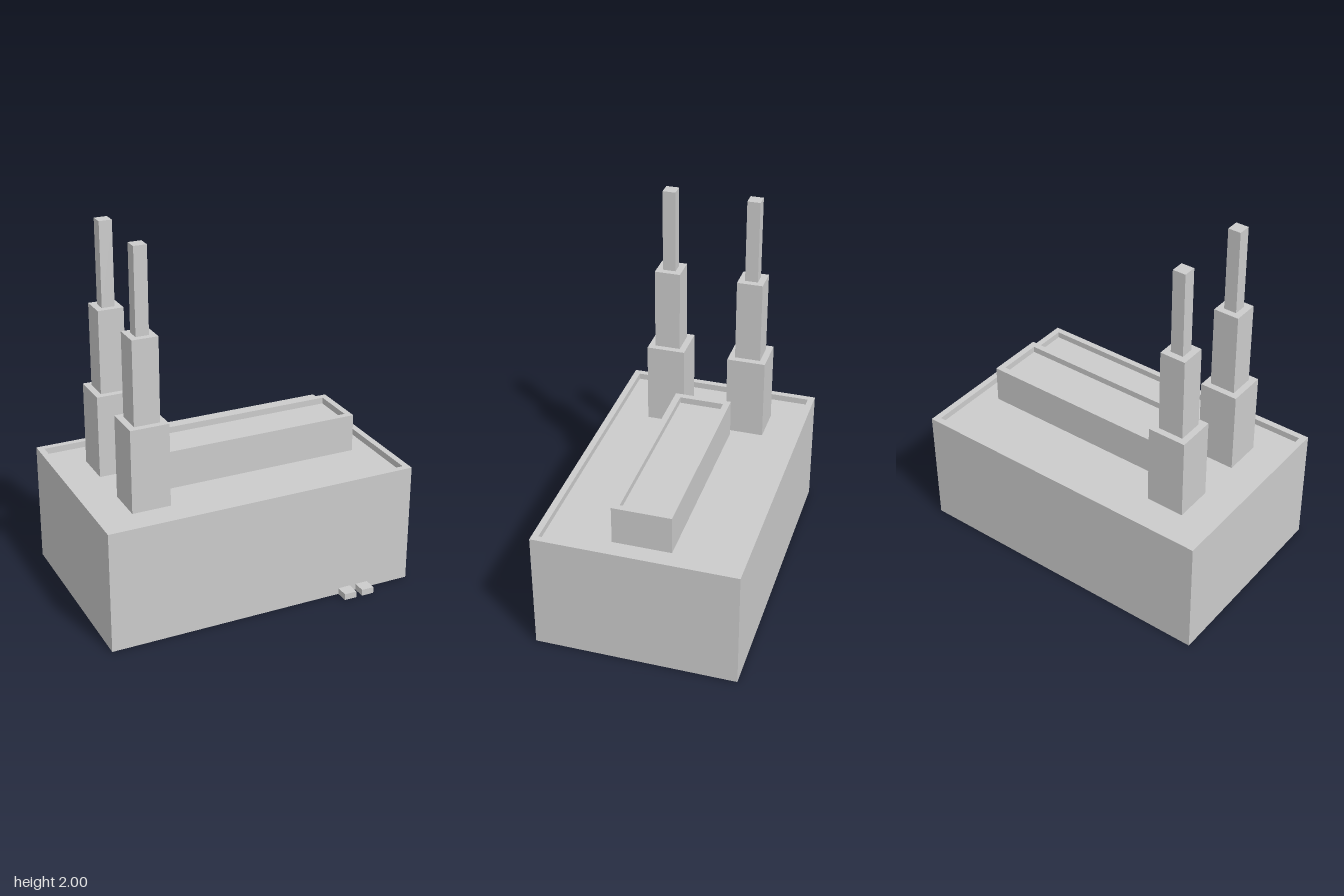
import * as THREE from 'three';

const U = 2 / 57; // building module: every size is a whole number of these
const material = new THREE.MeshStandardMaterial({ color: 0xcccccc, flatShading: true });

// Solid box from min/max corners given in modules
function block(name, x0, x1, y0, y1, z0, z1) {
  const geometry = new THREE.BoxGeometry((x1 - x0) * U, (y1 - y0) * U, (z1 - z0) * U);
  const mesh = new THREE.Mesh(geometry, material);
  mesh.position.set((x0 + x1) / 2 * U, (y0 + y1) / 2 * U, (z0 + z1) / 2 * U);
  mesh.name = name;
  return mesh;
}

// Box whose flat roof is sunk one module behind a one-module parapet
function parapetBlock(name, x0, x1, y0, y1, z0, z1) {
  const ring = (y, inset) => [
    [x0 + inset, y, z1 - inset], [x1 - inset, y, z1 - inset],
    [x1 - inset, y, z0 + inset], [x0 + inset, y, z0 + inset],
  ];
  // Outer foot, outer rim, inner rim, roof edge
  const rings = [ring(y0, 0), ring(y1, 0), ring(y1, 1), ring(y1 - 1, 1)];
  const points = [];
  const quad = (a, b, c, d) => points.push(a, b, c, a, c, d);
  for (let r = 0; r < 3; r++) {
    for (let i = 0; i < 4; i++) {
      const j = (i + 1) % 4;
      quad(rings[r][i], rings[r][j], rings[r + 1][j], rings[r + 1][i]);
    }
  }
  quad(...rings[3]); // roof
  quad(...rings[0].slice().reverse()); // underside

  const geometry = new THREE.BufferGeometry();
  geometry.setAttribute('position', new THREE.Float32BufferAttribute(points.flat().map(v => v * U), 3));
  geometry.computeVertexNormals();
  const mesh = new THREE.Mesh(geometry, material);
  mesh.name = name;
  return mesh;
}

// Chimney of three stacked square tiers, each narrower than the last
function chimney(name, x, z) {
  const group = new THREE.Group();
  group.name = name;
  ['lowerTier', 'middleTier', 'upperTier'].forEach((tier, i) => {
    const half = 3 - i;
    const y = 18 + 13 * i;
    group.add(block(tier, x - half, x + half, y, y + 13, z - half, z + half));
  });
  return group;
}

export function createModel() {
  const model = new THREE.Group();
  model.name = 'factory';

  // Main hall and the raised roof section
  model.add(parapetBlock('mainHall', -24.5, 24.5, 0, 19, -16.5, 14.5));
  model.add(parapetBlock('roofSection', -11.5, 20.5, 18, 24, -5.5, 3.5));

  // Chimneys
  model.add(chimney('frontChimney', -15.5, 5.5));
  model.add(chimney('backChimney', -15.5, -7.5));

  // Two small steps at the foot of the front wall
  for (const x of [12.5, 15.5]) {
    model.add(block('doorStep', x, x + 2, 0, 1, 14.5, 16.5));
  }
  return model;
}
